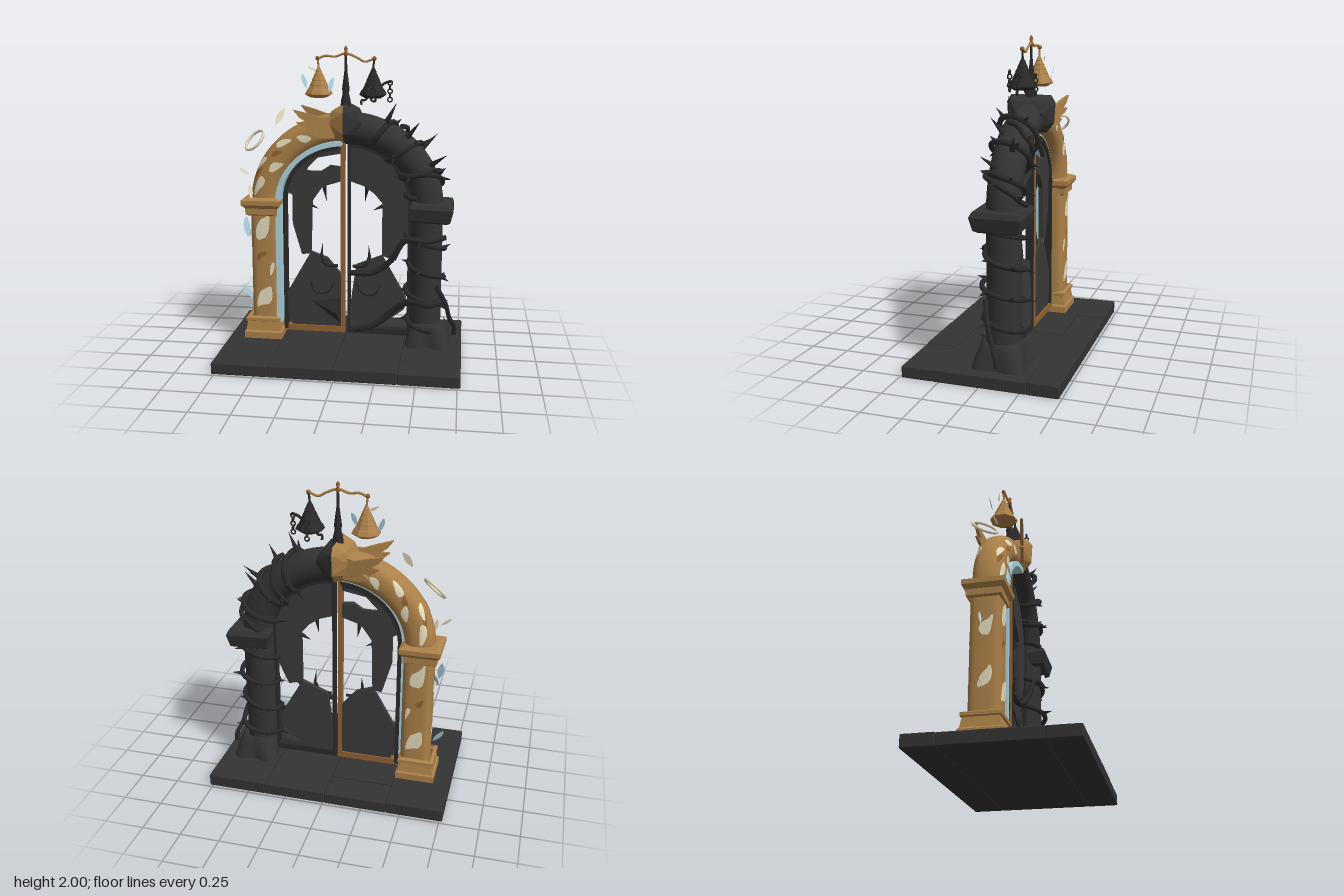
import * as THREE from 'three';
import { RoundedBoxGeometry } from 'three/addons/geometries/RoundedBoxGeometry.js';
import { ConvexGeometry } from 'three/addons/geometries/ConvexGeometry.js';
import { ParametricGeometry } from 'three/addons/geometries/ParametricGeometry.js';

const ZC = -0.08; // depth of the arch's middle plane
const V = (x, y, z = ZC) => new THREE.Vector3(x, y, z);

function material(name, hex, double) {
  const m = new THREE.MeshStandardMaterial({ color: hex });
  m.name = name;
  if (double) m.side = THREE.DoubleSide;
  return m;
}

// Point on one half of the arch: s 0..1 climbs the column, 1..2 follows the curve
function archPoint(side, s, theta, r, square, out = V(0, 0)) {
  const phi = Math.max(0, s - 1) * Math.PI / 2;
  const c = Math.cos(phi), n = Math.sin(phi);
  const len = Math.hypot(c / 0.525, n / 0.485);
  const nx = side * c / 0.525 / len, ny = n / 0.485 / len;
  const e = square && s < 1 ? 0.5 : square ? 0.8 : 1;
  const p = v => Math.sign(v) * Math.pow(Math.abs(v), e);
  const a = r * p(Math.cos(theta)), b = r * p(Math.sin(theta));
  const y = s < 1 ? 0.12 + 0.88 * s : 1 + 0.485 * n;
  return out.set(side * 0.525 * c + nx * a, y + ny * a, ZC + b);
}

export function createModel() {
  const root = new THREE.Group();
  const stone = material('dark stone', 0x333333);
  const iron = material('black iron', 0x2a2a2b, true);
  const panel = material('grey panel', 0x3a3a3a, true);
  const gold = material('gold', 0xac8149, true);
  const bronze = material('bronze', 0x936232, true);
  const cream = material('cream', 0xe6ddbe, true);
  const blue = material('pale blue', 0xaed3de, true);

  const add = (name, geo, mat, x = 0, y = 0, z = 0) => {
    const m = new THREE.Mesh(geo, mat);
    m.name = name;
    m.position.set(x, y, z);
    root.add(m);
    return m;
  };
  const box = (name, mat, x0, x1, y0, y1, z0, z1) =>
    add(name, new THREE.BoxGeometry(x1 - x0, y1 - y0, z1 - z0), mat, (x0 + x1) / 2, (y0 + y1) / 2, (z0 + z1) / 2);
  const tube = (name, mat, pts, r, seg = 24) =>
    add(name, new THREE.TubeGeometry(new THREE.CatmullRomCurve3(pts), seg, r, 6), mat);
  const spike = (name, mat, base, dir, len, r) => {
    const m = add(name, new THREE.ConeGeometry(r, len, 5).translate(0, len / 2, 0), mat, base.x, base.y, base.z);
    m.quaternion.setFromUnitVectors(V(0, 1, 0), dir.clone().normalize());
  };
  const plate = (name, mat, pts, depth, z) => add(name, new THREE.ExtrudeGeometry(
    new THREE.Shape(pts.map(p => new THREE.Vector2(...p))), { depth, bevelEnabled: false }), mat, 0, 0, z);
  // Faceted moulding turned from a profile of [half width, height]
  const moulding = (name, mat, profile, x, sides = 4) => {
    const k = 1 / Math.cos(Math.PI / sides);
    const g = new THREE.LatheGeometry(profile.map(([w, y]) => new THREE.Vector2(w * k, y)), sides)
      .rotateY(Math.PI / sides).toNonIndexed();
    g.computeVertexNormals();
    return add(name, g, mat, x, 0, ZC);
  };

  // Paved plinth
  const xs = [-0.77, -0.41, -0.01, 0.39, 0.77], zs = [-0.485, -0.29, 0.29, 0.485];
  for (let i = 0; i < 4; i++) for (let j = 0; j < 3; j++) {
    const h = 0.08 - ((i * 2 + j) % 3) * 0.003;
    add('pavingSlab', new RoundedBoxGeometry(xs[i + 1] - xs[i], h, zs[j + 1] - zs[j], 2, 0.008), stone,
      (xs[i] + xs[i + 1]) / 2, h / 2, (zs[j] + zs[j + 1]) / 2);
  }

  // Arch halves: column and curve in one sweep
  for (const [side, name, mat, r, sq] of [[-1, 'goldArch', gold, 0.095, true], [1, 'darkArch', stone, 0.104, false]])
    add(name, new ParametricGeometry((u, v, t) =>
      archPoint(side, v * 2, -side * u * Math.PI * 2, r, sq, t), 32, 48), mat);

  // Gold foot and capital
  moulding('goldFoot', gold, [[0, 0.075], [0.125, 0.075], [0.125, 0.12], [0.115, 0.13], [0.105, 0.19],
    [0.115, 0.195], [0.115, 0.215], [0.095, 0.225]], -0.54);
  moulding('goldCapital', gold, [[0.09, 0.91], [0.105, 0.92], [0.105, 0.96], [0.128, 0.985], [0.128, 1.015],
    [0.1, 1.03], [0, 1.03]], -0.54);

  // Dark foot with four lobes, and its tilted capital
  add('darkFoot', new ParametricGeometry((u, v, t) => {
    const a = -u * Math.PI * 2, f = Math.pow(1 - v, 0.6);
    const r = 0.1 + f * (0.06 - 0.028 * Math.cos(4 * a));
    t.set(0.55 + r * Math.cos(a), 0.075 + 0.155 * v, ZC + r * Math.sin(a) * 1.1);
  }, 40, 8), stone);
  const capital = moulding('darkCapital', stone, [[0.1, -0.065], [0.122, -0.05], [0.138, 0.03], [0.125, 0.06],
    [0, 0.06]], 0.558);
  capital.position.y = 0.965;
  capital.rotation.z = -0.04;
  capital.scale.z = 1.13;

  // Worn patches following the gold surface: [s, angle, length, width]
  const patch = (mat, s, th, ds, dth, r) => add('wornPatch', new ParametricGeometry((u, v, t) => {
    const a = u * Math.PI * 2, k = v * (1 + 0.15 * Math.sin(3 * a + s * 9));
    const x = k * Math.cos(a), y = k * Math.sin(a);
    archPoint(-1, s + ds * x, th + dth * (y + 0.7 * x), r, true, t);
  }, 14, 4), mat);
  const spots = [[0.27, 1.55, 0.08, 0.24], [0.5, 1.85, 0.05, 0.14], [0.8, 1.5, 0.09, 0.2], [1.14, 1.2, 0.08, 0.25],
    [1.3, 0.7, 0.06, 0.22], [1.34, 1.7, 0.06, 0.22], [1.52, 1.1, 0.06, 0.25], [1.68, 1.6, 0.05, 0.2]];
  spots.forEach(([s, th, ds, dth], i) => {
    for (const m of [1, -1]) {
      patch(cream, s, m * th, ds, dth, 0.098);
      if (i % 2) patch(bronze, s + 0.09, m * (th - 0.4), ds * 0.7, dth * 0.8, 0.097);
    }
  });
  for (const s of [0.35, 0.7]) patch(cream, s, 0.1, 0.07, 0.15, 0.098);

  // Inner trim and door frames
  const band = (name, mat, side, ro, ri, y0, depth, z) => {
    const pts = [[side * ro[0], y0]];
    const arc = (r, k) => [side * r[0] * Math.cos(k * 1.53 / 20), 1 + r[1] * Math.sin(k * 1.53 / 20)];
    for (let k = 0; k <= 20; k++) pts.push(arc(ro, k));
    for (let k = 20; k >= 0; k--) pts.push(arc(ri, k));
    pts.push([side * ri[0], y0]);
    plate(name, mat, pts, depth, z);
  };
  band('blueTrim', blue, -1, [0.447, 0.41], [0.413, 0.378], 0.19, 0.12, -0.1);
  band('goldDoorRail', iron, -1, [0.413, 0.38], [0.388, 0.345], 0.12, 0.05, -0.105);
  band('darkDoorRail', iron, 1, [0.44, 0.41], [0.408, 0.365], 0.12, 0.05, -0.105);
  box('goldDoorStile', bronze, -0.03, -0.004, 0.11, 1.4, -0.105, -0.055);
  box('goldDoorSill', bronze, -0.41, -0.03, 0.11, 0.15, -0.105, -0.055);
  box('darkDoorStile', iron, 0.014, 0.032, 0.11, 1.4, -0.105, -0.055);
  box('darkDoorSill', iron, 0.03, 0.41, 0.11, 0.15, -0.105, -0.055);

  // Torn door panels
  plate('lowerPanelGoldSide', panel, [[-0.4, 0.36], [-0.23, 0.66], [-0.12, 0.62], [-0.02, 0.5], [-0.02, 0.28],
    [-0.03, 0.15], [-0.36, 0.15], [-0.395, 0.26]], 0.03, -0.095);
  plate('lowerPanelDarkSide', panel, [[0.03, 0.13], [0.03, 0.28], [0.07, 0.58], [0.24, 0.65], [0.4, 0.37],
    [0.39, 0.29], [0.25, 0.18]], 0.03, -0.095);
  add('panelFold', new ConvexGeometry([V(-0.25, 0.33, -0.07), V(-0.03, 0.36, -0.07), V(-0.03, 0.16, -0.07),
    V(-0.06, 0.25, -0.03)]), iron);
  plate('upperPanelGoldSide', panel, [[-0.29, 0.64], [-0.35, 0.85], [-0.35, 1.04], [-0.4, 1.07], [-0.4, 1.18],
    [-0.32, 1.22], [-0.24, 1.2], [-0.16, 1.2], [-0.1, 1.24], [-0.02, 1.23], [-0.02, 1.14], [-0.15, 1.1], [-0.22, 1.0],
    [-0.23, 0.65]], 0.03, -0.095);
  plate('archWebGoldSide', panel, [[-0.4, 1.07], [-0.36, 1.2], [-0.25, 1.3], [-0.02, 1.38], [-0.02, 1.32],
    [-0.18, 1.29], [-0.25, 1.22], [-0.29, 1.13]], 0.03, -0.095);
  plate('upperPanelDarkSide', panel, [[0.03, 1.14], [0.12, 1.11], [0.19, 1.06], [0.24, 1.0], [0.24, 0.65], [0.33, 0.62],
    [0.42, 0.82], [0.42, 1.05], [0.36, 1.2], [0.24, 1.31], [0.03, 1.38]], 0.03, -0.095);
  for (const s of [-1, 1]) {
    tube('panelTendril', iron, [V(s * 0.23, 0.46, -0.06), V(s * 0.2, 0.39, -0.05), V(s * 0.12, 0.39, -0.05),
      V(s * 0.07, 0.46, -0.06)], 0.007);
    tube('panelTendril', iron, [V(s * 0.05, 0.57, -0.07), V(s * 0.13, 0.58, -0.06), V(s * 0.16, 0.64, -0.07)], 0.011);
    spike('tendrilTip', iron, V(s * 0.16, 0.635, -0.07), V(s * -0.1, 1, 0), 0.09, 0.011);
    spike('tornThorn', iron, V(s * 0.14, 1.1), V(s * -0.15, -1, 0), 0.1, 0.016);
    spike('tornThorn', iron, V(s * 0.24, 0.98), V(s * -1, -0.5, 0), 0.07, 0.014);
  }

  // Thorny vines winding up the dark half
  const vine = (turns, start, s0, s1, r) => {
    const at = (k, rad) => {
      const s = s0 + (s1 - s0) * k;
      return archPoint(1, s, start + turns * Math.PI * 2 * k, rad + 0.01 * Math.sin(k * 41), false, V(0, 0));
    };
    const n = Math.round(turns * 12);
    tube('vine', iron, Array.from({ length: n + 1 }, (_, k) => at(k / n, 0.122)), r, n * 3);
    for (let k = 1; k < turns * 5; k++) {
      const f = k / (turns * 5), base = at(f, 0.122), dir = at(f, 0.2).sub(base);
      dir.y += 0.03 * Math.sin(k * 2.3);
      spike('vineThorn', iron, base, dir, 0.05 + 0.012 * (k % 3), 0.016);
    }
  };
  vine(4.2, 0.6, 0.05, 0.95, 0.016);
  vine(3, 2, 1.08, 1.75, 0.018);
  vine(1.4, 4, 1.02, 1.62, 0.016);
  for (const [s, th] of [[1.3, 0.5], [1.42, -0.4], [1.55, 0.5], [1.72, 0.2]])
    spike('archSpike', iron, archPoint(1, s, th, 0.09), archPoint(1, s, th, 0.2).sub(archPoint(1, s, th, 0)).add(V(0.04, 0.05, 0)), 0.15, 0.022);
  tube('doorVine', iron, [V(0.03, 0.53, -0.05), V(0.18, 0.54, -0.04), V(0.3, 0.63, -0.02), V(0.4, 0.78, 0.01),
    V(0.53, 0.78, 0.035), V(0.65, 0.8, -0.02)], 0.019);
  tube('doorVine', iron, [V(0.06, 0.14, -0.06), V(0.2, 0.18, -0.05), V(0.33, 0.3, -0.03), V(0.43, 0.37, 0.01),
    V(0.56, 0.36, 0.035), V(0.64, 0.38, -0.03)], 0.022);
  tube('rootVine', iron, [V(0.6, 0.48, 0.01), V(0.66, 0.36, -0.02), V(0.69, 0.24, -0.06), V(0.72, 0.18, -0.09),
    V(0.72, 0.12, -0.1)], 0.016);

  // Keystone, half gold and half dark
  for (const [s, mat] of [[-1, gold], [1, stone]]) {
    const pts = [];
    for (const z of [-1, 1]) for (const [x, y, d] of [[0, 1.4, 0.1], [0, 1.46, 0.15], [0, 1.59, 0.158], [0, 1.635, 0.13],
      [0.09, 1.45, 0.09], [0.112, 1.53, 0.105], [0.075, 1.6, 0.11]]) pts.push(V(s * x, y, ZC + z * d));
    add('keystone', new ConvexGeometry(pts), mat);
  }

  // Feathered wings on the gold side, curling away from the arch
  for (const z of [-1, 1]) {
    const w = plate('wing', gold, [[0, -0.07], [-0.1, -0.07], [-0.16, -0.04], [-0.13, -0.015], [-0.2, 0.0], [-0.24, 0.03],
      [-0.18, 0.035], [-0.22, 0.06], [-0.26, 0.11], [-0.16, 0.085], [-0.08, 0.06], [0, 0.07]], 0.02, 0);
    w.position.set(-0.06, 1.5, ZC + z * 0.1 - 0.01);
    w.rotation.y = z * 0.2;
  }

  // Balance: spire, beam and two stepped pans
  add('spire', new THREE.LatheGeometry([[0.035, 1.62], [0.03, 1.66], [0.02, 1.7], [0.024, 1.73], [0.01, 1.84],
    [0.007, 1.94]].map(p => new THREE.Vector2(...p)), 10), iron, 0, 0, ZC);
  add('finial', new THREE.LatheGeometry([[0.007, 1.93], [0.018, 1.945], [0.008, 1.96], [0.013, 1.98], [0, 2]]
    .map(p => new THREE.Vector2(...p)), 10), bronze, 0, 0, ZC);
  tube('beam', gold, [V(-0.18, 1.915), V(-0.13, 1.935), V(-0.07, 1.93), V(0, 1.95), V(0.07, 1.925), V(0.12, 1.9),
    V(0.18, 1.92)], 0.008, 32);
  for (const [s, mat] of [[-1, gold], [1, iron]]) {
    const profile = [[0, 1.675], [0.05, 1.675], [0.082, 1.695]];
    for (let k = 0; k < 6; k++) {
      const w = 0.082 - k * 0.0115 - (k > 0 ? 0.006 : 0);
      profile.push([w, 1.7 + k * 0.028], [w - 0.012, 1.725 + k * 0.028]);
    }
    moulding('scalePan', mat, [...profile, [0, 1.88]], s * 0.173, 8);
    tube('panHanger', mat, [V(s * 0.18, 1.92), V(s * 0.176, 1.89), V(s * 0.173, 1.86)], 0.007, 6);
    add('beamEnd', new THREE.SphereGeometry(0.014, 10, 8), bronze, s * 0.18, 1.92, ZC);
  }
  for (let k = 0; k < 5; k++) for (const [x, z, y] of [[0.28, ZC, 1.77], [0.18, 0, 1.78], [0.17, -0.16, 1.76]])
    add('chainLink', new THREE.TorusGeometry(0.014, 0.005, 5, 10), iron, x, y - k * 0.026, z).rotation.y = k % 2 * Math.PI / 2;
  tube('chainArm', iron, [V(0.2, 1.73), V(0.25, 1.77), V(0.29, 1.78)], 0.009, 8);
  tube('brokenHook', iron, [V(0.14, 1.68), V(0.12, 1.66), V(0.1, 1.66), V(0.1, 1.63)], 0.008, 10);

  // Halo hanging beside the gold curve
  const halo = add('halo', new THREE.TorusGeometry(0.078, 0.009, 6, 28), cream, -0.6, 1.39, -0.09);
  halo.quaternion.setFromUnitVectors(V(0, 0, 1), V(-0.58, 0.66, 0.48).normalize());

  // Drifting feathers: [material, x, y, z, length, tilt, turn]
  const leaf = new THREE.Shape();
  leaf.moveTo(0, -0.5);
  leaf.quadraticCurveTo(0.3, -0.1, 0.08, 0.5);
  leaf.quadraticCurveTo(-0.28, 0.15, 0, -0.5);
  for (const [mat, x, y, z, l, tilt, turn] of [[cream, -0.43, 1.55, -0.07, 0.13, -0.4, 0.3], [cream, -0.68, 1.18, -0.1, 0.08, 1.1, 0.4],
    [cream, -0.6, 1.08, 0.06, 0.1, 0.2, 0.5], [blue, -0.66, 0.82, -0.05, 0.14, 0.2, 0.2], [blue, -0.64, 0.78, -0.1, 0.09, -0.3, -0.4],
    [blue, -0.67, 0.36, -0.08, 0.12, 0.7, 0.2], [blue, -0.28, 1.77, -0.14, 0.1, 0.4, 0.3], [blue, -0.09, 1.76, -0.03, 0.1, -0.2, 0.3],
    [cream, -0.22, 1.85, -0.1, 0.07, 1.3, 0.4]]) {
    const f = add('feather', new THREE.ShapeGeometry(leaf), mat, x, y, z);
    f.scale.setScalar(l);
    f.rotation.set(-0.3, turn, tilt);
  }
  return root;
}
